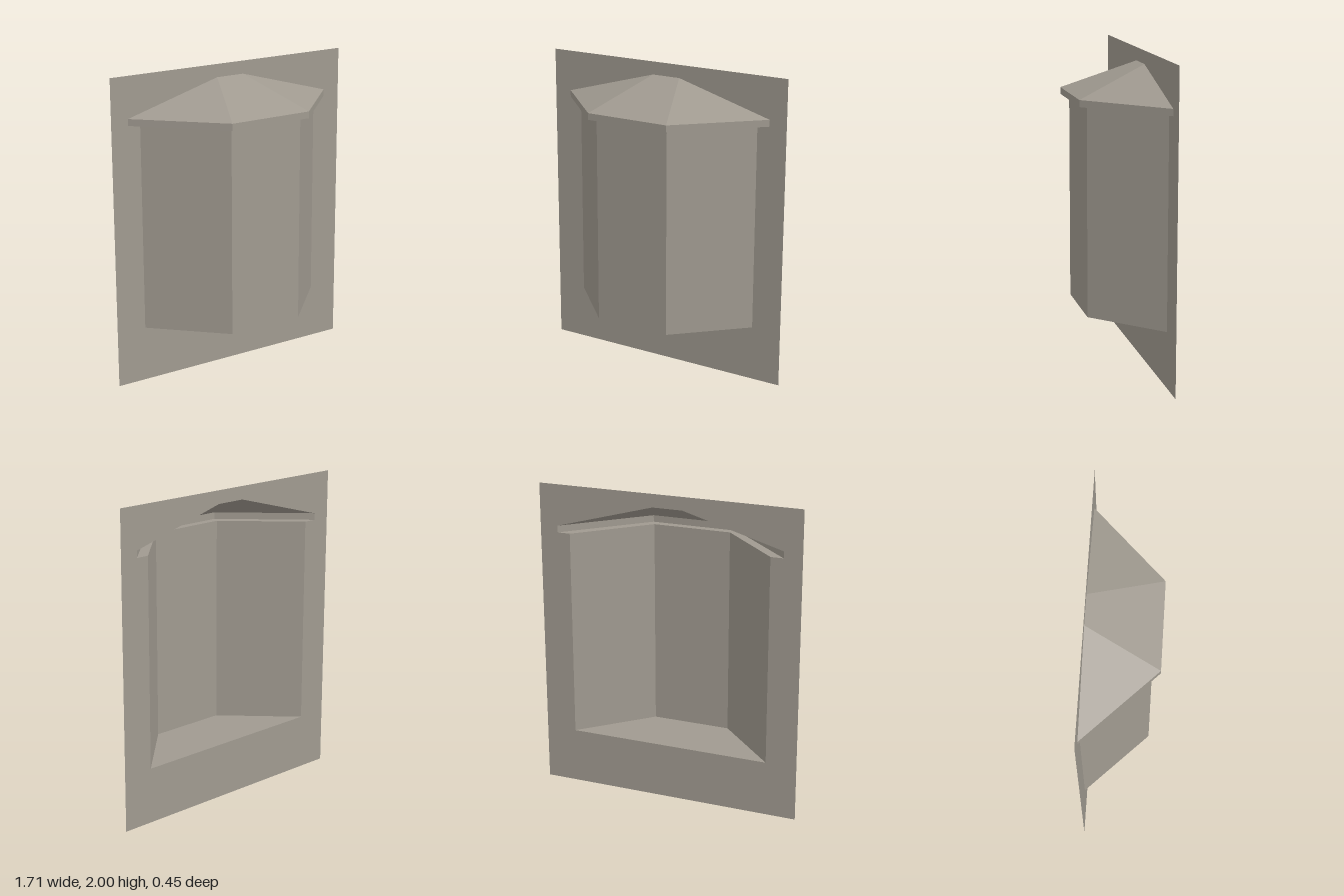
import * as THREE from 'three';

const BACK = -0.227;

export function createModel() {
  const group = new THREE.Group();
  group.name = 'bayWindow';
  const stone = new THREE.MeshStandardMaterial({ color: 0xa09a90, side: THREE.DoubleSide, flatShading: true });
  stone.name = 'warm grey stone';

  const add = (name, geometry) => {
    const mesh = new THREE.Mesh(geometry, stone);
    mesh.name = name;
    group.add(mesh);
  };

  // Flat convex panel from corners listed counter-clockwise seen from outside
  const panel = (name, ...corners) => {
    const positions = [];
    for (let i = 1; i < corners.length - 1; i++) positions.push(...corners[0], ...corners[i], ...corners[i + 1]);
    const geometry = new THREE.BufferGeometry();
    geometry.setAttribute('position', new THREE.Float32BufferAttribute(positions, 3));
    geometry.computeVertexNormals();
    add(name, geometry);
  };

  // Half-hexagonal plan, running left to right around the front
  const plan = (wide, narrow, front) => [[-wide, BACK], [-narrow, front], [narrow, front], [wide, BACK]];
  const bay = plan(0.657, 0.256, 0.175);
  const eave = plan(0.74, 0.283, 0.227);
  const ridge = [[-0.097, BACK], [0.097, BACK]];
  const floorY = 0.357, eaveY = 1.692, roofY = 1.735, ridgeY = 1.916;
  const at = ([x, z], y) => [x, y, z];

  // Thin house wall, cut open behind the whole bay
  const wall = new THREE.Shape([[-0.857, 0], [0.857, 0], [0.857, 2], [-0.857, 2]].map(p => new THREE.Vector2(...p)));
  const half = [[0.657, floorY], [0.657, eaveY], [0.74, eaveY], [0.74, roofY], [0.097, ridgeY]];
  const outline = [...half, ...half.map(([x, y]) => [-x, y]).reverse()];
  wall.holes.push(new THREE.Path(outline.map(p => new THREE.Vector2(...p))));
  add('houseWall', new THREE.ShapeGeometry(wall).translate(0, 0, BACK));

  // Bay walls, eave fascia and soffit on each of the three sides
  ['right', 'front', 'left'].forEach((side, i) => {
    const a = bay[i], b = bay[i + 1], c = eave[i], d = eave[i + 1];
    panel(side + 'BayWall', at(a, floorY), at(b, floorY), at(b, eaveY), at(a, eaveY));
    panel(side + 'Fascia', at(c, eaveY), at(d, eaveY), at(d, roofY), at(c, roofY));
    panel(side + 'Soffit', at(a, eaveY), at(b, eaveY), at(d, eaveY), at(c, eaveY));
  });

  // Bay floor
  panel('bayFloor', ...bay.map(p => at(p, floorY)));

  // Hipped roof
  const e = eave.map(p => at(p, roofY));
  const [r0, r1] = ridge.map(p => at(p, ridgeY));
  panel('rightRoof', e[0], e[1], r0);
  panel('frontRoof', e[1], e[2], r1, r0);
  panel('leftRoof', e[2], e[3], r1);

  return group;
}
